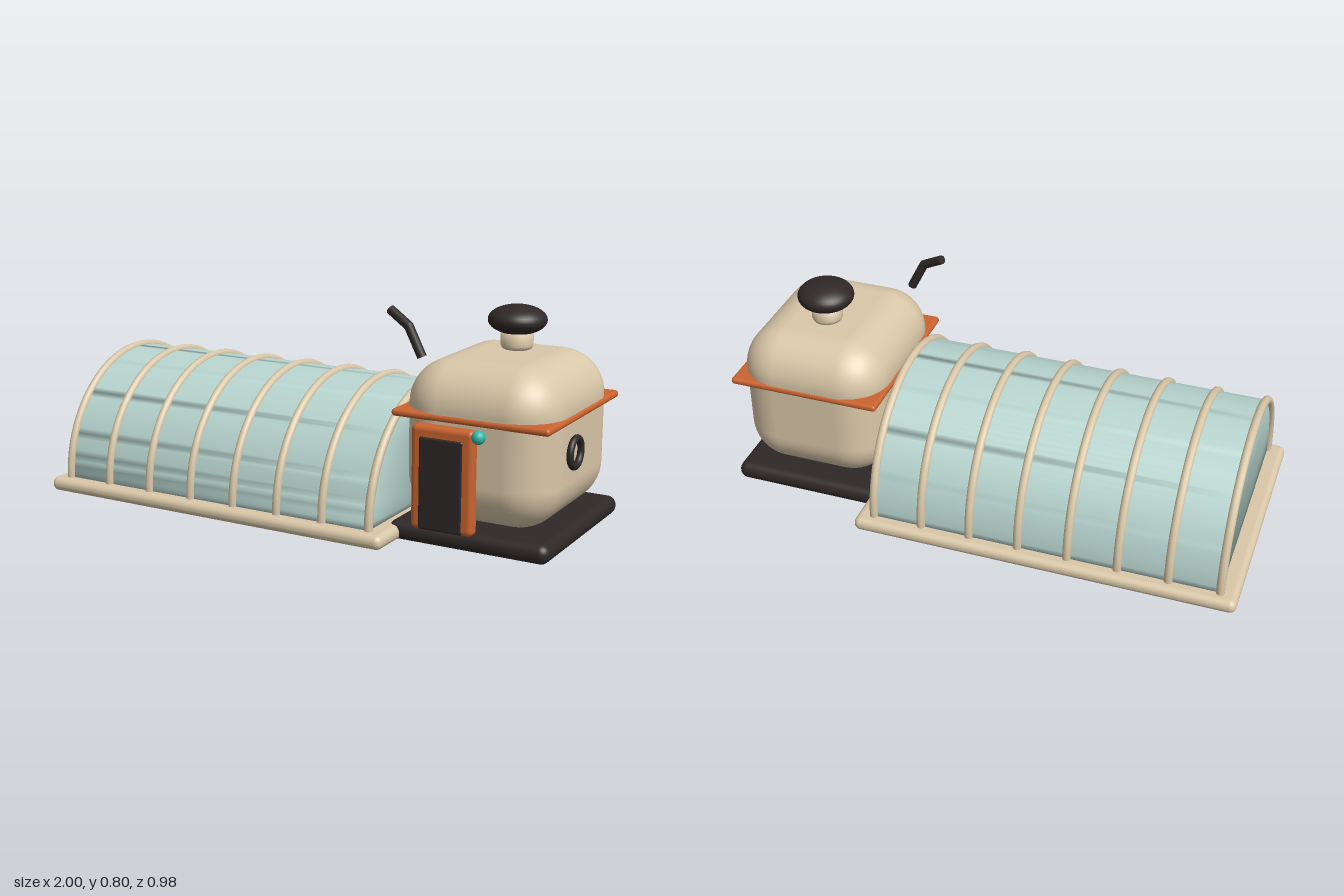
import * as THREE from 'three';
import { mergeVertices } from 'three/addons/utils/BufferGeometryUtils.js';
import { RoundedBoxGeometry } from 'three/addons/geometries/RoundedBoxGeometry.js';

const mat = (name, color) => {
  const m = new THREE.MeshStandardMaterial({ color });
  m.name = name;
  return m;
};

export function createModel() {
  const model = new THREE.Group();
  model.name = 'greenhouseWithHut';
  const cream = mat('cream', 0xd9c7a8);
  const glass = mat('paleGlass', 0xb9d6d0);
  const orange = mat('orange', 0xcb6430);
  const dark = mat('darkBrown', 0x2f2828);
  const teal = mat('teal', 0x30b8a8);

  const add = (name, geometry, material, x = 0, y = 0, z = 0) => {
    const mesh = new THREE.Mesh(geometry, material);
    mesh.name = name;
    mesh.position.set(x, y, z);
    model.add(mesh);
    return mesh;
  };
  // Rounded box given by its minimum and maximum corners
  const box = (name, material, min, max, radius, segments = 4) => {
    const s = max.map((v, i) => v - min[i]);
    const c = max.map((v, i) => (v + min[i]) / 2);
    return add(name, new RoundedBoxGeometry(...s, segments, radius), material, ...c);
  };

  // Base slabs
  box('tunnelBase', cream, [-1, 0.002, -0.488], [0.44, 0.055, 0.488], 0.025);
  box('hutBase', dark, [0.39, 0, -0.343], [0.987, 0.07, 0.343], 0.033);

  // Glass tunnel: closed half cylinder with soft shading into its ends
  const R = 0.44, floor = 0.055, x0 = -0.935, x1 = 0.372;
  const arch = new THREE.Shape();
  arch.absarc(0, 0, R, 0, Math.PI, false);
  arch.closePath();
  let shell = new THREE.ExtrudeGeometry(arch, { depth: x1 - x0, bevelEnabled: false, curveSegments: 32 });
  shell.deleteAttribute('uv');
  shell.deleteAttribute('normal');
  shell = mergeVertices(shell, 1e-4);
  shell.computeVertexNormals();
  shell.rotateY(Math.PI / 2);
  add('glassTunnel', shell, glass, x0, floor, 0);

  // Hoops along the tunnel
  for (let i = 0; i < 8; i++) {
    const hoop = new THREE.TorusGeometry(R, 0.016, 10, 40, Math.PI);
    hoop.rotateY(Math.PI / 2);
    add('tunnelHoop' + (i + 1), hoop, cream, x0 + (i * (x1 - x0)) / 7, floor, 0);
  }

  // Hut body and its band
  box('hutBody', cream, [0.403, 0.07, -0.325], [0.97, 0.635, 0.325], 0.16, 7);
  box('hutBand', orange, [0.395, 0.441, -0.33], [0.977, 0.467, 0.33], 0.012, 3);

  // Knob on the roof
  const neck = [[0, 0], [0.04, 0], [0.053, 0.006], [0.058, 0.018], [0.058, 0.07], [0, 0.07]];
  add('knobNeck', new THREE.LatheGeometry(neck.map(p => new THREE.Vector2(...p)), 32), cream, 0.685, 0.633, -0.07);
  const knob = add('roofKnob', new THREE.SphereGeometry(1, 36, 20), dark, 0.685, 0.74, -0.07);
  knob.scale.set(0.105, 0.053, 0.105);

  // Door with dark panel and round handle
  box('doorFrame', orange, [0.485, 0.06, 0.305], [0.72, 0.432, 0.356], 0.02);
  box('doorPanel', dark, [0.518, 0.064, 0.34], [0.682, 0.393, 0.36], 0.009, 3);
  add('doorHandle', new THREE.SphereGeometry(0.024, 20, 14), teal, 0.745, 0.42, 0.37);

  // Porthole on the hut side
  const ring = new THREE.TorusGeometry(0.0495, 0.0125, 12, 36);
  ring.rotateY(Math.PI / 2);
  add('portholeRing', ring, dark, 0.985, 0.34, 0.107);
  const pane = add('portholePane', new THREE.SphereGeometry(1, 24, 14), cream, 0.97, 0.34, 0.107);
  pane.scale.set(0.012, 0.045, 0.045);

  // Bent pipe above the roof edge
  const bend = [[0.472, 0.64, 0.248], [0.42, 0.743, 0.248], [0.338, 0.79, 0.228]]
    .map(p => new THREE.Vector3(...p));
  for (let i = 0; i < 2; i++) {
    const dir = bend[i + 1].clone().sub(bend[i]);
    const mid = bend[i].clone().addScaledVector(dir, 0.5);
    const pipe = add('pipeSection' + (i + 1), new THREE.CylinderGeometry(0.017, 0.017, dir.length(), 16),
      dark, mid.x, mid.y, mid.z);
    pipe.quaternion.setFromUnitVectors(new THREE.Vector3(0, 1, 0), dir.normalize());
  }
  add('pipeElbow', new THREE.SphereGeometry(0.017, 16, 12), dark, ...bend[1].toArray());

  return model;
}
